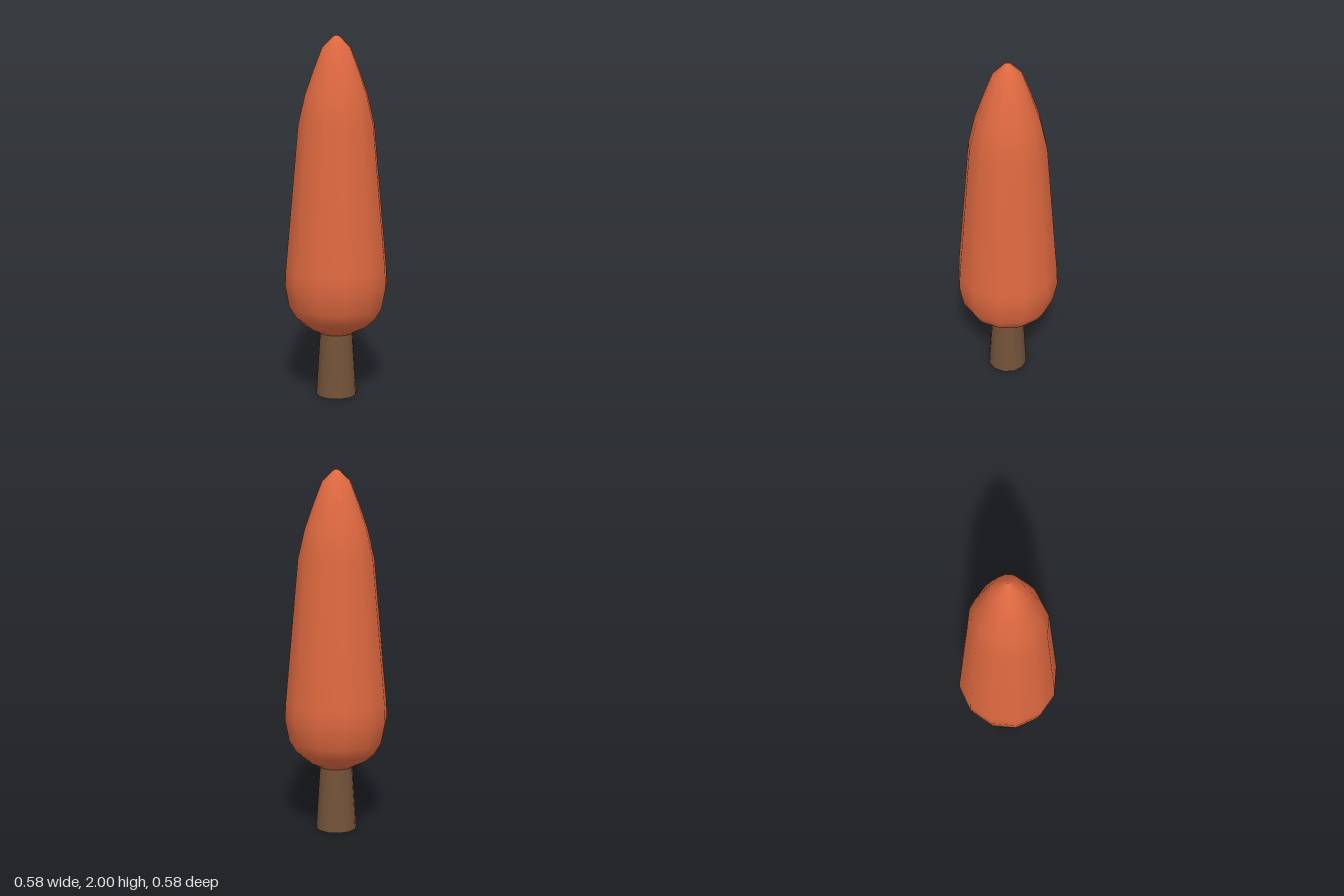
import * as THREE from 'three';

export function createModel() {
  const model = new THREE.Group();
  const foliage = new THREE.MeshStandardMaterial({ color: 0xdd6840 });
  foliage.name = 'autumn orange';
  const bark = new THREE.MeshStandardMaterial({ color: 0x735239 });
  bark.name = 'bark brown';
  const SIDES = 12;

  // Tapered trunk, reaching slightly into the crown
  const trunkHeight = 0.38;
  const trunk = new THREE.Mesh(
    new THREE.CylinderGeometry(0.091, 0.115, trunkHeight, SIDES), bark);
  trunk.name = 'trunk';
  trunk.position.y = trunkHeight / 2;
  model.add(trunk);

  // Tall rounded crown, profile as [radius, height] from bottom to tip
  const profile = [
    [0, 0.345], [0.09, 0.355], [0.168, 0.395], [0.226, 0.445], [0.265, 0.51],
    [0.288, 0.63], [0.284, 0.72], [0.211, 1.52], [0.173, 1.68],
    [0.127, 1.81], [0.078, 1.935], [0.018, 1.993], [0, 2],
  ].map(([r, y]) => new THREE.Vector2(r, y));
  const crown = new THREE.Mesh(new THREE.LatheGeometry(profile, SIDES), foliage);
  crown.name = 'crown';
  model.add(crown);

  return model;
}
